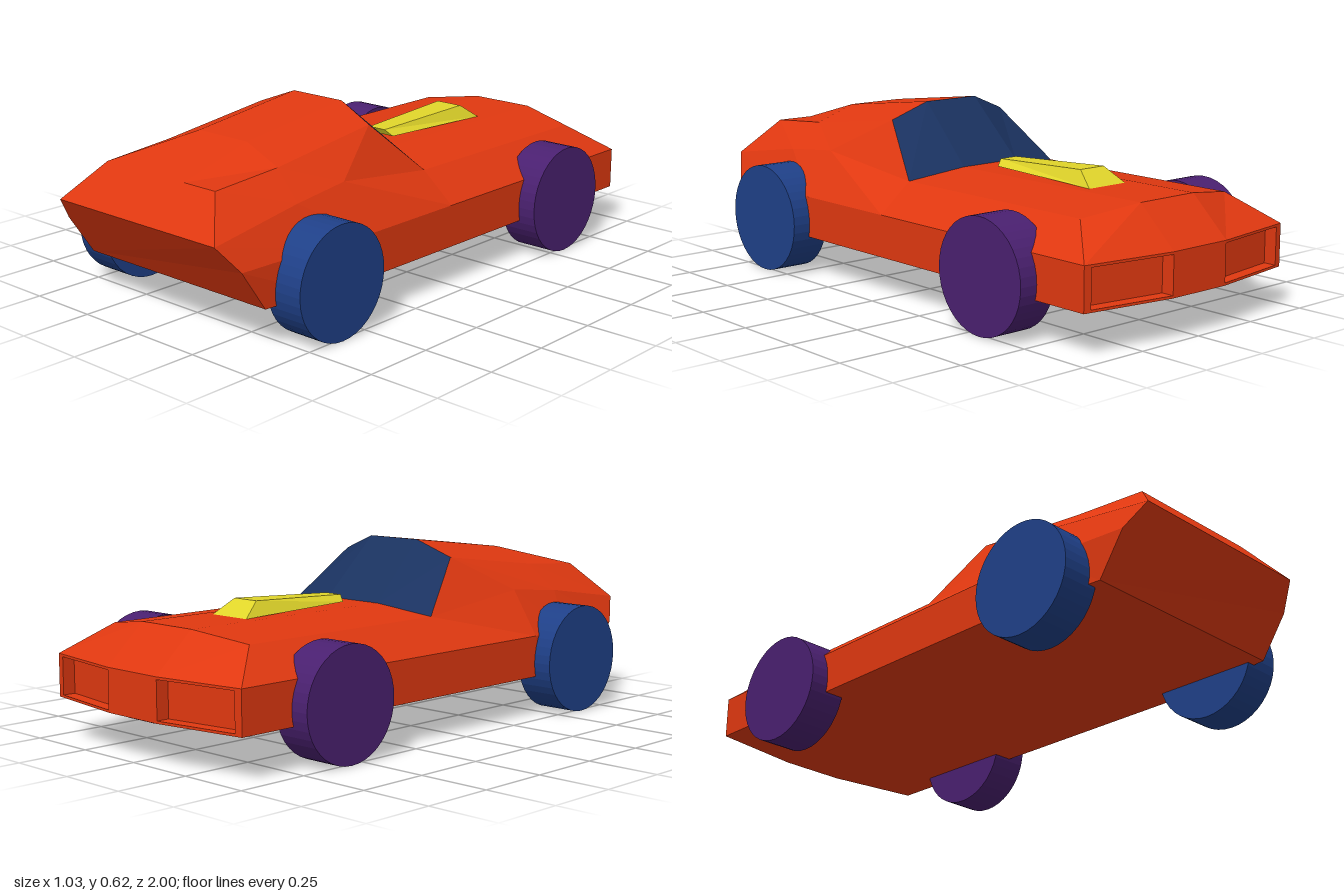
import * as THREE from 'three';

const paint = (color) => new THREE.MeshStandardMaterial({ color, flatShading: true });

// Collects flat polygons (counter-clockwise from outside) into one mesh
function facets() {
  const pos = [];
  const tri = (a, b, c) => {
    const [A, B, C] = [a, b, c].map((p) => new THREE.Vector3(...p));
    if (B.clone().sub(A).cross(C.clone().sub(A)).length() > 1e-7) pos.push(...a, ...b, ...c);
  };
  return {
    poly(...p) { for (let i = 1; i < p.length - 1; i++) tri(p[0], p[i], p[i + 1]); },
    mesh(name, material) {
      const g = new THREE.BufferGeometry();
      g.setAttribute('position', new THREE.Float32BufferAttribute(pos, 3));
      g.computeVertexNormals();
      const m = new THREE.Mesh(g, material);
      m.name = name;
      return m;
    },
  };
}

const flip = ([x, y, z]) => [-x, y, z];
const mix = (a, b, t) => a.map((v, i) => v + (b[i] - v) * t);

// Half sections from nose to tail: sill, belt, haunch, roof edge, roof centre panel
const halves = [
  [[0.45, 0.14, -0.95], [0.45, 0.285, -0.95], [0.45, 0.285, -0.95], [0.45, 0.285, -0.95], [0.12, 0.285, -1]],
  [[0.45, 0.14, -0.81], [0.45, 0.285, -0.81], [0.33, 0.385, -0.81], [0.33, 0.385, -0.81], [0.12, 0.415, -0.86]],
  [[0.45, 0.14, 0.01], [0.45, 0.285, 0.01], [0.33, 0.385, 0.01], [0.33, 0.385, 0.01], [0.12, 0.415, -0.03]],
  [[0.45, 0.14, 0.43], [0.45, 0.285, 0.43], [0.35, 0.44, 0.43], [0.25, 0.565, 0.2], [0.11, 0.62, 0.18]],
  [[0.43, 0.14, 0.62], [0.43, 0.285, 0.62], [0.36, 0.42, 0.65], [0.255, 0.51, 0.63], [0.11, 0.565, 0.62]],
  [[0.405, 0.14, 0.84], [0.405, 0.28, 0.935], [0.36, 0.365, 1], [0.25, 0.49, 0.89], [0.11, 0.49, 0.89]],
];

function addBody(group, red, glassBlue) {
  const body = facets(), glass = facets();
  const rings = halves.map((h) => [...h, ...h.map(flip).reverse()]);
  const n = rings[0].length;
  for (let i = 0; i < rings.length - 1; i++) {
    for (let j = 0; j < n; j++) {
      const k = (j + 1) % n;
      const target = i === 2 && j >= 3 && j <= 5 ? glass : body;
      target.poly(rings[i][j], rings[i][k], rings[i + 1][k], rings[i + 1][j]);
    }
  }

  // Tail: sloping upper panel over an undercut lower panel
  const t = rings[rings.length - 1];
  body.poly(t[7], t[2], t[3], t[4], t[5], t[6]);
  body.poly(t[9], t[0], t[1], t[2], t[7], t[8]);

  // Nose: flush centre block with a recessed light panel on each side
  const low = [0.12, 0.14, -1], high = [0.12, 0.285, -1];
  const [sill, belt] = halves[0];
  body.poly(low, flip(low), flip(high), high);
  body.poly(flip(sill), flip(low), low, sill);
  const outer = [sill, low, high, belt];
  const at = (u, v) => mix(mix(sill, low, u), mix(belt, high, u), v);
  const inner = [at(0.08, 0.06), at(1, 0.06), at(1, 0.94), at(0.08, 0.94)];
  const back = inner.map(([x, y, z]) => [x, y, z + 0.045]);
  for (const mirrored of [false, true]) {
    const add = (...p) => body.poly(...(mirrored ? p.map(flip).reverse() : p));
    for (let k = 0; k < 4; k++) {
      const m = (k + 1) % 4;
      add(outer[k], outer[m], inner[m], inner[k]);
      add(inner[k], inner[m], back[m], back[k]);
    }
    add(...back);
  }
  group.add(body.mesh('body', red), glass.mesh('windshield', glassBlue));
}

// Tapered wedge on the hood
function addScoop(group, yellow) {
  const s = facets();
  const a = [0.082, 0.415, -0.6], b = [0.053, 0.465, -0.53];
  const c = [0.035, 0.447, -0.125], d = [0.062, 0.425, -0.14];
  s.poly(b, flip(b), flip(c), c);
  s.poly(a, flip(a), flip(b), b);
  s.poly(d, c, flip(c), flip(d));
  s.poly(a, b, c, d);
  s.poly(...[a, b, c, d].map(flip).reverse());
  s.poly(a, d, flip(d), flip(a));
  group.add(s.mesh('hoodScoop', yellow));
}

export function createModel() {
  const group = new THREE.Group();
  group.name = 'car';
  addBody(group, paint(0xe03810), paint(0x1a3260));
  addScoop(group, paint(0xe0d52a));

  // Wheels: purple pair under the hood, blue pair at the tail
  const wheelGeometry = new THREE.CylinderGeometry(0.19, 0.19, 0.137, 40).rotateZ(Math.PI / 2);
  const axles = [
    { name: 'hoodWheel', z: -0.56, material: paint(0x4a2070) },
    { name: 'tailWheel', z: 0.615, material: paint(0x1f4088) },
  ];
  for (const { name, z, material } of axles) {
    for (const side of [1, -1]) {
      const wheel = new THREE.Mesh(wheelGeometry, material);
      wheel.name = name + (side > 0 ? 'Left' : 'Right');
      wheel.position.set(side * 0.447, 0.19, z);
      group.add(wheel);
    }
  }
  return group;
}
